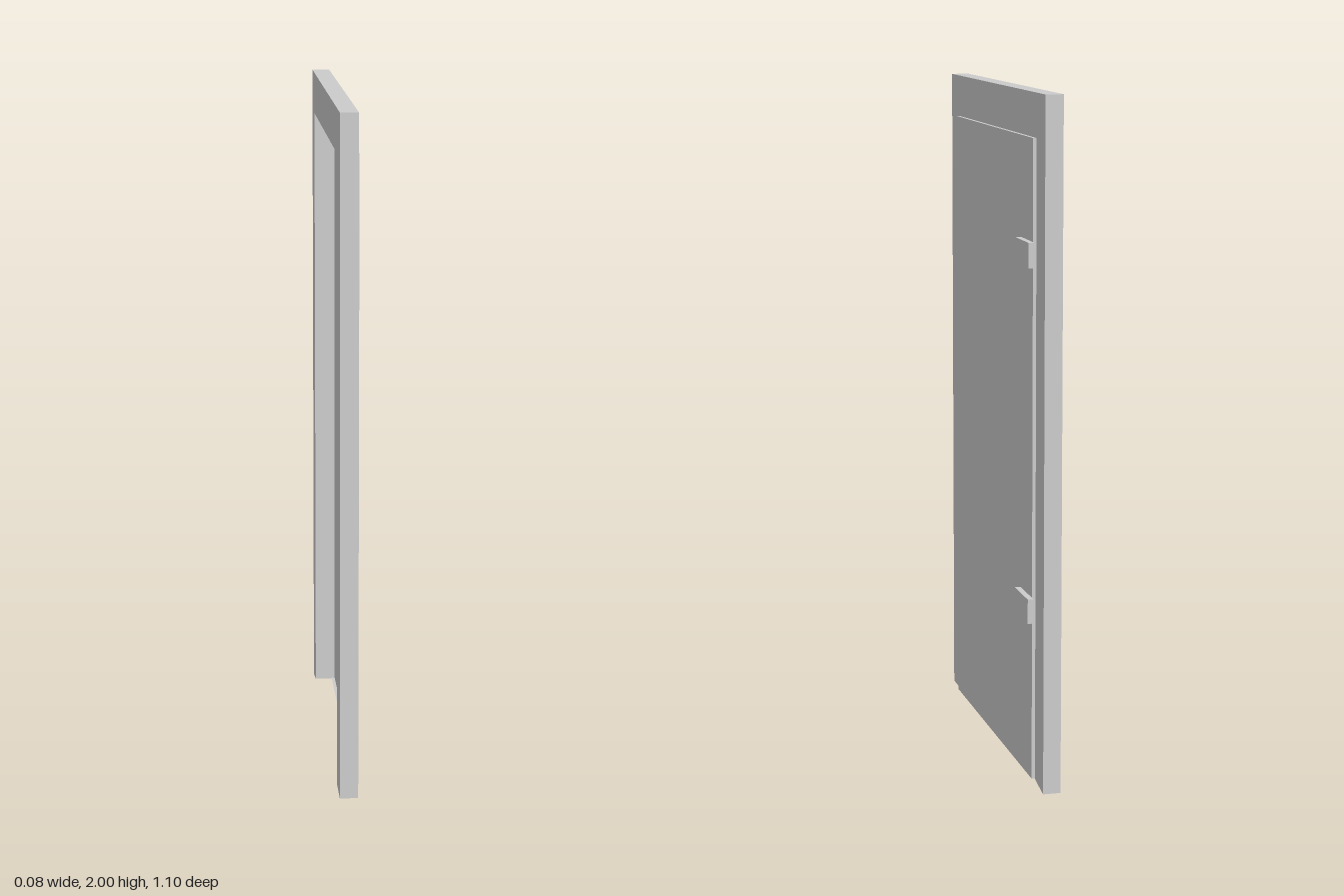
import * as THREE from 'three';

export function createModel() {
  const model = new THREE.Group();
  const grey = new THREE.MeshStandardMaterial({ color: 0xcccccc, flatShading: true, side: THREE.DoubleSide });

  const add = (name, geometry, x, y, z) => {
    const mesh = new THREE.Mesh(geometry, grey);
    mesh.name = name;
    mesh.position.set(x, y, z);
    model.add(mesh);
    return mesh;
  };

  // Shared outline of the opening and the leaf
  const zBack = -0.46, zFront = 0.45, top = 1.875, bottom = 0.018;
  const frameFace = 0.012, leafFace = 0.022;

  // Frame: an upside-down U drawn in (z, y); the hinge post ends on a slant
  const outline = new THREE.Shape([
    [-0.55, 0], [zBack, 0.016], [zBack, top], [zFront, top],
    [zFront, 0.016], [0.55, 0.016], [0.55, 2], [-0.55, 2],
  ].map(([z, y]) => new THREE.Vector2(z, y)));
  const frameGeometry = new THREE.ExtrudeGeometry(outline, { depth: 0.052, bevelEnabled: false });
  frameGeometry.rotateY(-Math.PI / 2);
  add('doorFrame', frameGeometry, frameFace, 0, 0);

  // Leaf: a shallow tray, open towards the opening
  const leafGeometry = new THREE.BoxGeometry(leafFace - frameFace, top - bottom, zFront - zBack);
  const index = Array.from(leafGeometry.index.array);
  index.splice(6, 6); // drop the inner (-x) side
  leafGeometry.setIndex(index);
  leafGeometry.clearGroups();
  add('doorLeaf', leafGeometry, (leafFace + frameFace) / 2, (top + bottom) / 2, (zFront + zBack) / 2);

  // Hinge plates bridging the leaf and the back post
  for (const [name, y] of [['lowerHinge', 0.525], ['upperHinge', 1.55]]) {
    add(name, new THREE.BoxGeometry(0.017, 0.072, 0.144), leafFace + 0.0085, y, -0.404);
  }

  return model;
}
